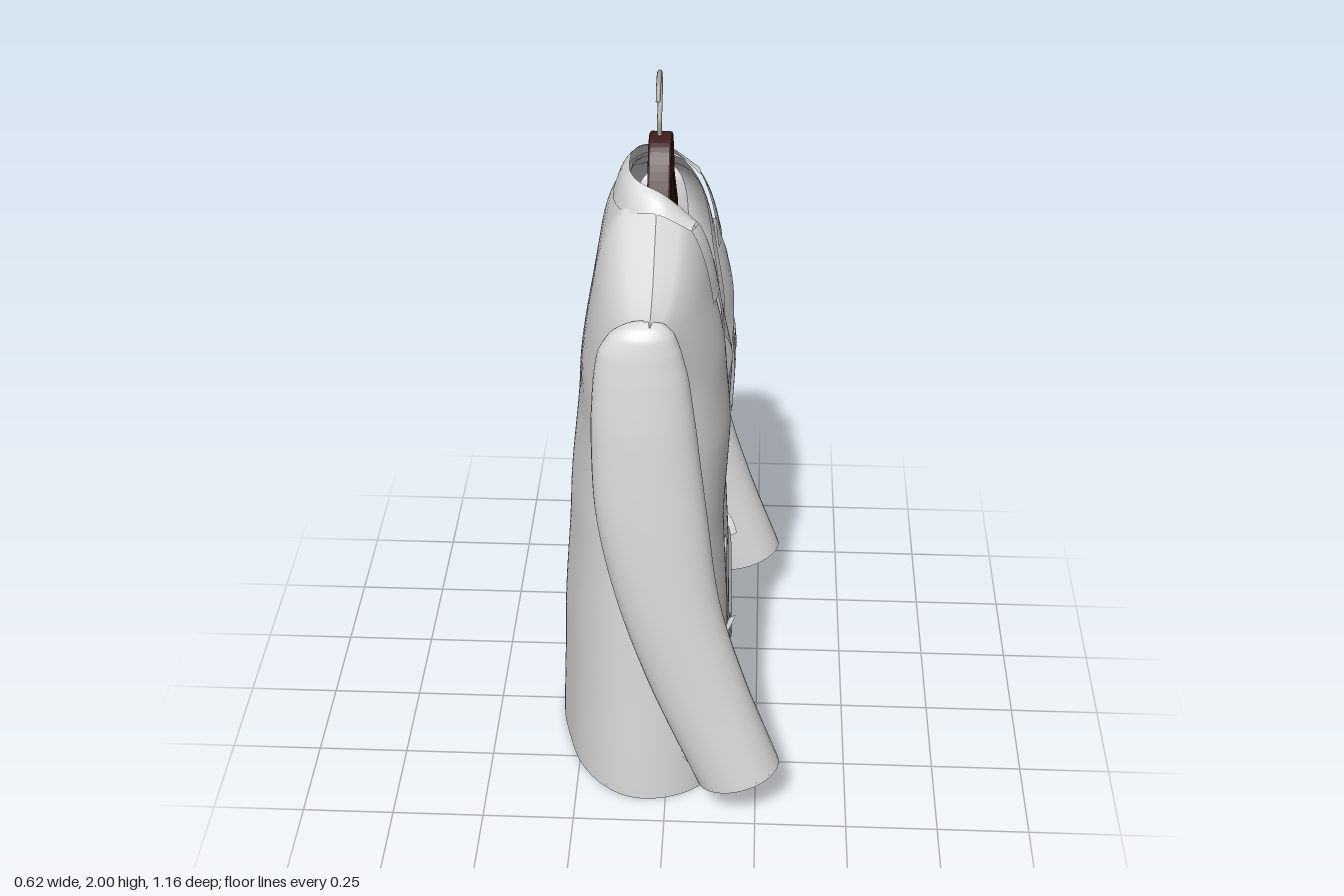
import * as THREE from 'three';
import { mergeVertices } from 'three/addons/utils/BufferGeometryUtils.js';

// Built facing +z, then turned to face +x
const clamp = THREE.MathUtils.clamp, lerp = THREE.MathUtils.lerp;

// Softened lookup in rows of [key, value]
function table(rows) {
  return k => {
    if (k <= rows[0][0]) return rows[0][1];
    for (let i = 1; i < rows.length; i++) {
      if (k <= rows[i][0]) {
        const t = (k - rows[i - 1][0]) / (rows[i][0] - rows[i - 1][0]);
        return lerp(rows[i - 1][1], rows[i][1], lerp(t, t * t * (3 - 2 * t), 0.5));
      }
    }
    return rows[rows.length - 1][1];
  };
}

// Surface from a rule (u, v) -> [x, y, z]
function grid(nu, nv, rule) {
  const pos = [], idx = [];
  for (let j = 0; j <= nv; j++) for (let i = 0; i <= nu; i++) pos.push(...rule(i / nu, j / nv));
  for (let j = 0; j < nv; j++) for (let i = 0; i < nu; i++) {
    const a = j * (nu + 1) + i, b = a + nu + 1;
    idx.push(a, a + 1, b + 1, a, b + 1, b);
  }
  let g = new THREE.BufferGeometry();
  g.setAttribute('position', new THREE.Float32BufferAttribute(pos, 3));
  g.setIndex(idx);
  g = mergeVertices(g, 1e-5);
  g.computeVertexNormals();
  return g;
}

// Body form: half width, front and back depth, shoulder line, front edge
const TIP = 0.445;
const width = table([[0, 0.415], [0.5, 0.4], [1, 0.385], [1.3, 0.395], [1.53, TIP]]);
const chest = table([[0, 0.175], [0.45, 0.165], [0.8, 0.15], [1.1, 0.165], [1.3, 0.15], [1.5, 0.125]]);
const rear = table([[0, -0.31], [0.4, -0.297], [0.8, -0.272], [1.2, -0.237], [1.5, -0.2]]);
const ridge = table([[1.2, -0.06], [1.6, -0.03]]);
const backRound = table([[1.1, 1.95], [1.5, 3.5]]);
const shoulder = x => lerp(1.73, 1.545, clamp((Math.abs(x) - 0.13) / (TIP - 0.13), 0, 1));
const edge = y => y < 0.1 ? 0.05 * (1 - y / 0.1) ** 2 : clamp((y - 1.12) / 0.54, 0, 1) * 0.13;

function depth(x, y, front) {
  const v = clamp(y / shoulder(x), 0, 1), t = clamp((v - 0.72) / 0.28, 0, 1);
  const q = clamp(Math.abs(x) / width(y), 0, 1);
  const side = ridge(y), fold = 0.004 * Math.sin(x * 26) * (1 - v) * (1 - q);
  if (front) {
    const dip = 0.028 * Math.exp(-((x / 0.09) ** 2)) * (1 - t ** 6);
    return side + (chest(y) - side) * Math.sqrt(1 - q ** 3.6) * Math.sqrt(1 - t ** 2.7) - dip + fold;
  }
  const z = side + (rear(y) - side) * Math.sqrt(1 - q ** backRound(y)) * Math.sqrt(1 - t ** 3.5) + fold;
  return Math.abs(x) < 0.13 ? Math.min(z, -0.03 - 0.085 * Math.sqrt(1 - (x / 0.13) ** 2)) : z;
}

// Cloth patch lying on the front; rows are [y, xInner, xOuter] or [[x, y], [x, y]]
function patch(rows, off, side = 1, offOuter = off, nu = 10, nv = 24) {
  const r = rows.map(q => Array.isArray(q[0]) ? q : [[q[1], q[0]], [q[2], q[0]]]);
  return grid(nu, nv, (u, v) => {
    const k = Math.min(Math.floor(v * (r.length - 1)), r.length - 2), t = v * (r.length - 1) - k;
    const at = (e, c) => lerp(r[k][e][c], r[k + 1][e][c], t);
    const x = lerp(at(0, 0), at(1, 0), u) * side, y = lerp(at(0, 1), at(1, 1), u);
    return [x, y, depth(x, y, true) + lerp(off, offOuter, u)];
  });
}

export function createModel() {
  const mat = (name, color) => {
    const m = new THREE.MeshStandardMaterial({ color, side: THREE.DoubleSide });
    m.name = name;
    return m;
  };
  const cloth = mat('lightGreyCloth', 0xdadada);
  const buttonMat = mat('buttonGrey', 0xb4b4b4);
  const wood = mat('darkWood', 0x3f1c1c);
  const steel = mat('steel', 0xaaa69f);

  const jacket = new THREE.Group();
  jacket.name = 'jacketOnHanger';
  const add = (name, geo, m) => {
    const mesh = new THREE.Mesh(geo, m);
    mesh.name = name;
    jacket.add(mesh);
    return mesh;
  };

  // Back panel, running up to shoulder seams and neck
  add('backPanel', grid(72, 60, (u, v) => {
    const f = Math.sin((u * 2 - 1) * Math.PI / 2);
    const y = v * shoulder(f * TIP), x = f * width(y);
    return [x, y, depth(x, y, false)];
  }), cloth);

  // Lining closing the body, hollowed upward from the hem
  add('hemLining', grid(96, 12, (u, v) => {
    const a = u * 2 * Math.PI, x = Math.cos(a) * width(0.01);
    const z = depth(x, 0.01, a < Math.PI);
    return [x * (1 - v), 0.01 + 0.09 * (1 - (1 - v) ** 2), lerp(z, -0.06, v)];
  }), cloth);

  // Sleeve sections: y, lateral centre, lateral half, depth centre, depth half, cuff tilt
  const sections = [
    [1.55, 0.425, 0.004, -0.04, 0.01, 0], [1.538, 0.426, 0.025, -0.045, 0.05, 0],
    [1.515, 0.426, 0.042, -0.052, 0.078, 0], [1.47, 0.427, 0.053, -0.058, 0.1, 0],
    [1.4, 0.43, 0.062, -0.056, 0.115, 0],
    [1.25, 0.439, 0.074, -0.05, 0.13, 0], [1.0, 0.458, 0.077, -0.03, 0.14, 0],
    [0.75, 0.474, 0.077, 0.012, 0.132, 0], [0.5, 0.483, 0.079, 0.085, 0.125, 0.01],
    [0.192, 0.49, 0.09, 0.2, 0.11, 0.033],
  ];
  const centre = new THREE.CatmullRomCurve3(sections.map(s => new THREE.Vector3(s[1], s[0], s[3])));
  const size = new THREE.CatmullRomCurve3(sections.map(s => new THREE.Vector3(s[2], s[5], s[4])));

  for (const side of [-1, 1]) {
    const label = side > 0 ? 'left' : 'right';

    // Front panel with V opening and rounded hem corner
    add(label + 'FrontPanel', grid(40, 70, (u, v) => {
      const f = Math.sin(u * Math.PI / 2), y = v * shoulder(lerp(0.13, TIP, f));
      const x = side * lerp(edge(v * 1.73), width(y), f);
      return [x, y, depth(x, y, true)];
    }), cloth);

    // Sleeve, and the lining set just inside its cuff
    const sleevePoint = (a, v, r) => {
      const c = centre.getPoint(v), h = size.getPoint(v);
      return [side * (c.x + r * h.x * Math.cos(a)), c.y + r * h.y * Math.sin(a), c.z + r * h.z * Math.sin(a)];
    };
    add(label + 'Sleeve', grid(32, 60, (u, v) => sleevePoint(u * 2 * Math.PI, v, 1)), cloth);
    add(label + 'CuffLining', grid(32, 6, (u, v) => sleevePoint(u * 2 * Math.PI, 0.997 - 0.012 * v, 1 - v)), cloth);

    // Lapel, up to the notch
    add(label + 'Lapel', patch([
      [[0, 1.12], [0, 1.11]], [[0.03, 1.24], [0.105, 1.25]], [[0.065, 1.37], [0.21, 1.39]],
      [[0.085, 1.46], [0.14, 1.47]], [[0.105, 1.55], [0.11, 1.55]],
    ], 0.008, side, 0.016), cloth);

    // Collar: pointed front leaf, then a band rolling round the neck to the centre back
    add(label + 'CollarLeaf', patch([
      [[0.088, 1.474], [0.232, 1.488]], [[0.11, 1.565], [0.206, 1.58]], [[0.13, 1.66], [0.18, 1.662]],
    ], 0.014, side, 0.018), cloth);
    const on = (x, y, o) => new THREE.Vector3(x, y, depth(x, y, true) + o);
    const P = (x, y, z) => new THREE.Vector3(x, y, z);
    const inner = new THREE.CatmullRomCurve3([on(0.13, 1.66, 0.014),
      P(0.133, 1.735, -0.012), P(0.105, 1.756, -0.075), P(0.055, 1.76, -0.1), P(0, 1.76, -0.105)]);
    const outer = new THREE.CatmullRomCurve3([on(0.18, 1.662, 0.018),
      P(0.178, 1.705, -0.03), P(0.145, 1.69, -0.1), P(0.075, 1.68, -0.137), P(0, 1.677, -0.148)]);
    add(label + 'CollarBand', grid(8, 32, (u, v) => {
      const p = inner.getPoint(v).lerp(outer.getPoint(v), u), puff = 0.01 * Math.sin(u * Math.PI);
      return [side * p.x, p.y + puff, p.z - puff * 0.4 * v];
    }), cloth);

    // Hip pocket with rounded lower corners and an overhanging welt
    add(label + 'HipPocket', patch([
      [0.1, 0.18, 0.365], [0.112, 0.152, 0.383], [0.14, 0.14, 0.39], [0.3, 0.145, 0.387], [0.475, 0.15, 0.384],
    ], 0.008, side), cloth);
    add(label + 'HipPocketWelt', patch([
      [[0.19, 0.47], [0.19, 0.482]], [[0.388, 0.47], [0.388, 0.482]],
    ], 0.008, side, 0.026, 1, 12), cloth);
  }

  // Overlapping front edge
  add('frontOverlap', patch([
    [0.0, 0.06, 0.1], [0.03, 0.02, 0.1], [0.1, -0.025, 0.09], [0.4, -0.038, 0.08],
    [0.7, -0.04, 0.07], [0.95, -0.022, 0.06], [1.12, 0, 0.01],
  ], 0.009, 1, 0.001, 8, 42), cloth);

  // Chest pocket and its top band
  add('chestPocket', patch([
    [0.93, 0.14, 0.285], [0.942, 0.112, 0.31], [0.97, 0.1, 0.32], [1.08, 0.1, 0.32], [1.2, 0.1, 0.32],
  ], 0.009), cloth);
  add('chestPocketBand', patch([[1.155, 0.1, 0.32], [1.202, 0.1, 0.32]], 0.014, 1, 0.014, 10, 3), cloth);

  // Three buttons with raised rims
  for (const y of [1.01, 0.79, 0.57]) {
    const z = depth(0.01, y, true) + 0.012;
    const disc = add('button', new THREE.CylinderGeometry(0.023, 0.023, 0.01, 24), buttonMat);
    disc.rotation.x = Math.PI / 2;
    disc.position.set(0.01, y, z);
    const rim = add('buttonRim', new THREE.TorusGeometry(0.021, 0.005, 8, 24), buttonMat);
    rim.position.set(0.01, y, z + 0.005);
  }

  // Wooden hanger arms, bar and wire hook
  const s = new THREE.Shape();
  s.moveTo(-0.36, 1.47);
  s.quadraticCurveTo(-0.22, 1.59, -0.125, 1.675);
  s.bezierCurveTo(-0.07, 1.8, -0.05, 1.828, 0, 1.828);
  s.bezierCurveTo(0.05, 1.828, 0.07, 1.8, 0.125, 1.675);
  s.quadraticCurveTo(0.22, 1.59, 0.36, 1.47);
  s.lineTo(0.34, 1.45);
  s.quadraticCurveTo(0.2, 1.56, 0.12, 1.645);
  s.quadraticCurveTo(0.05, 1.72, 0, 1.725);
  s.quadraticCurveTo(-0.05, 1.72, -0.12, 1.645);
  s.quadraticCurveTo(-0.2, 1.56, -0.34, 1.45);
  const arms = new THREE.ExtrudeGeometry(s, {
    depth: 0.046, bevelSize: 0.006, bevelThickness: 0.006, bevelSegments: 2, curveSegments: 12,
  });
  add('hangerArms', arms, wood).position.z = -0.05;
  const bar = add('hangerBar', new THREE.CylinderGeometry(0.01, 0.01, 0.68, 12), wood);
  bar.rotation.z = Math.PI / 2;
  bar.position.set(0, 1.462, -0.027);
  const hook = new THREE.CatmullRomCurve3([[0, 1.82], [0, 1.875], [0.03, 1.9], [0.05, 1.945], [0.036, 1.982],
    [0, 1.994], [-0.04, 1.98], [-0.06, 1.948]].map(p => new THREE.Vector3(p[0], p[1], -0.03)));
  add('hangerHook', new THREE.TubeGeometry(hook, 48, 0.006, 8), steel);

  jacket.rotation.y = Math.PI / 2;
  const model = new THREE.Group();
  model.name = 'model';
  model.add(jacket);
  return model;
}
